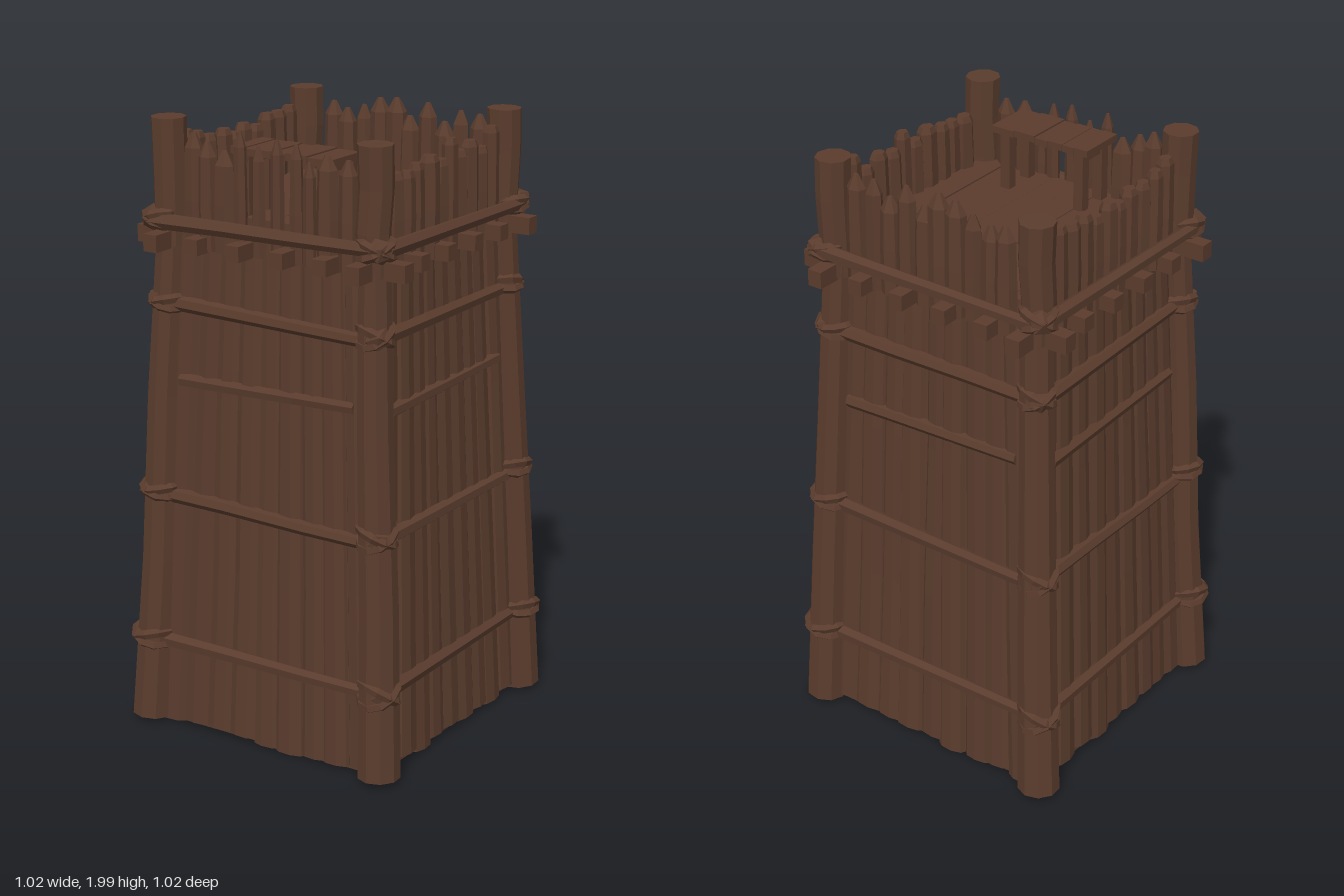
import * as THREE from 'three';

const wood = new THREE.MeshStandardMaterial({ color: 0x5a3c2d, flatShading: true });
wood.name = 'dark wood';

let seed = 7;
const rnd = (a, b) => {
  seed = (seed * 16807) % 2147483647;
  return a + (b - a) * (seed / 2147483647);
};
const V = (x, y, z) => new THREE.Vector3(x, y, z);

function add(parent, name, geometry, x = 0, y = 0, z = 0) {
  const m = new THREE.Mesh(geometry, wood);
  m.name = name;
  m.position.set(x, y, z);
  parent.add(m);
  return m;
}

// Slightly crooked log from a to b; squash flattens it along z
function log(parent, name, a, b, ra, rb, sides = 7, squash = 1) {
  const d = b.clone().sub(a);
  const g = new THREE.CylinderGeometry(rb, ra, d.length(), sides, 3);
  const p = g.attributes.position;
  const ox = [0, rnd(-0.1, 0.1) * ra, rnd(-0.1, 0.1) * ra, 0];
  for (let i = 0; i < p.count; i++) {
    const k = Math.round((p.getY(i) / d.length() + 0.5) * 3);
    p.setX(i, p.getX(i) + ox[k]);
  }
  g.rotateY(rnd(0, 1));
  g.scale(1, 1, squash);
  const m = add(parent, name, g, ...a.clone().add(b).multiplyScalar(0.5).toArray());
  m.quaternion.setFromUnitVectors(V(0, 1, 0), d.normalize());
  return m;
}

// Offset of the leaning corner posts at a height
const postAt = y => 0.442 - 0.07 * Math.min(y / 1.65, 1);

function buildSide(index) {
  const side = new THREE.Group();
  side.name = 'wallSide';
  const blunt = index % 2 === 1;

  // Broad, flat wall planks of uneven width, narrowing toward the top
  const n = 9;
  for (let i = 0; i < n; i++) {
    const u = (i + 0.5) / n * 2 - 1 + rnd(-0.03, 0.03);
    const r = rnd(0.05, 0.06);
    log(side, 'wallPlank', V(u * 0.41, rnd(0.005, 0.03), 0.425),
      V((u + rnd(-0.03, 0.03)) * 0.33, 1.65, 0.366), r, r * 0.78, 8, rnd(0.36, 0.48));
  }

  // Parapet stakes, roughly pointed or blunt, thinner in the middle of the front
  for (let i = 0; i < 10; i++) {
    const x = -0.28 + i * 0.0622 + rnd(-0.008, 0.008);
    const thin = index === 0 && x > -0.16 && x < 0.19;
    const r = thin ? 0.022 : rnd(0.03, 0.038);
    const top = blunt ? rnd(1.89, 1.95) : rnd(1.91, 1.98);
    const cut = blunt ? 0.02 : 0.045;
    const profile = [[0, 1.6], [r, 1.6], [r * 1.03, 1.75], [r * 0.92, top - cut], [r * (blunt ? 0.65 : 0.25), top], [0, top]];
    const g = new THREE.LatheGeometry(profile.map(p => new THREE.Vector2(...p)), 6, rnd(0, 1));
    g.scale(1, 1, 0.85);
    add(side, 'parapetStake', g, x, 0, 0.385 + rnd(-0.006, 0.006));
  }

  // Horizontal rails lashed to the posts
  for (const [y, z] of [[0.29, 0.437], [0.78, 0.418], [1.41, 0.396], [1.685, 0.43]]) {
    const w = postAt(y) + 0.03, t = rnd(-0.01, 0.01);
    log(side, 'rail', V(-w, y + t, z), V(w, y - t, z), 0.026, 0.021, 6);
  }
  // Short middle rail between the posts
  log(side, 'middleRail', V(-0.33, 1.17, 0.395), V(0.32, 1.185, 0.395), 0.024, 0.02, 6);

  // Joist ends under the parapet
  for (const x of [-0.235, -0.08, 0.08, 0.235]) {
    add(side, 'joistEnd', new THREE.BoxGeometry(0.05, 0.05, 0.12), x, 1.622, 0.405);
  }
  for (const x of [-0.37, 0.37]) {
    add(side, 'cornerJoistEnd', new THREE.BoxGeometry(0.05, 0.055, 0.12), x, 1.622, 0.432);
  }

  side.rotation.y = index * Math.PI / 2;
  return side;
}

function buildCorner(sx, sz) {
  const corner = new THREE.Group();
  corner.name = 'cornerPost';
  const at = y => V(sx * postAt(y), y, sz * postAt(y));

  // Leaning lower post and upright upper post
  log(corner, 'lowerPost', at(0.02), at(1.66), 0.068, 0.05, 9);
  log(corner, 'upperPost', at(1.6), V(sx * 0.376, rnd(1.975, 2), sz * 0.376), 0.052, 0.056, 9);

  // Crossed rope lashings and a knot at each rail: height, outward shift
  for (const [y, out] of [[0.3, 0.003], [0.8, 0], [1.42, 0], [1.685, 0.02]]) {
    const p = at(y), r = 0.066 - 0.014 * Math.min(y / 1.65, 1);
    for (const tilt of [-0.32, 0.32]) {
      const g = new THREE.TorusGeometry(r, 0.016, 5, 10);
      g.rotateX(Math.PI / 2);
      const m = add(corner, 'lashing', g, p.x + sx * out, y, p.z + sz * out);
      m.rotation.set(tilt * sx, rnd(0, 1), tilt * sz);
    }
    const k = add(corner, 'knot', new THREE.IcosahedronGeometry(0.044, 0),
      p.x + sx * (out + 0.02), y, p.z + sz * (out + 0.02));
    k.rotation.set(rnd(0, 3), rnd(0, 3), 0);
  }
  return corner;
}

export function createModel() {
  const tower = new THREE.Group();
  tower.name = 'woodenWatchtower';

  // Solid tapered core closing the walls and base
  const core = new THREE.CylinderGeometry(0.366 * Math.SQRT2, 0.425 * Math.SQRT2, 1.65, 4);
  core.rotateY(Math.PI / 4);
  add(tower, 'core', core, 0, 0.835, 0);

  for (let i = 0; i < 4; i++) tower.add(buildSide(i));
  for (const sx of [-1, 1]) for (const sz of [-1, 1]) tower.add(buildCorner(sx, sz));

  // Platform floor boards
  for (let i = 0; i < 8; i++) {
    add(tower, 'floorBoard', new THREE.BoxGeometry(0.092, 0.05, 0.75),
      -0.325 + i * 0.0928, 1.69 + rnd(-0.003, 0.003), 0);
  }

  // Raised firing step behind the front parapet
  const step = new THREE.Group();
  step.name = 'firingStep';
  const edges = [-0.15, -0.1, -0.055, 0, 0.05, 0.13, 0.215];
  for (let i = 0; i < edges.length - 1; i++) {
    const w = edges[i + 1] - edges[i];
    add(step, 'stepBoard', new THREE.BoxGeometry(w - 0.002, 0.022, 0.165),
      edges[i] + w / 2, 1.915 + rnd(-0.003, 0.003), 0.285);
  }
  for (const x of [-0.11, 0.17]) {
    for (const z of [0.23, 0.335]) {
      add(step, 'stepLeg', new THREE.BoxGeometry(0.034, 0.21, 0.034), x, 1.805, z);
    }
    add(step, 'stepBrace', new THREE.BoxGeometry(0.024, 0.03, 0.14), x, 1.89, 0.283);
  }
  tower.add(step);
  return tower;
}
